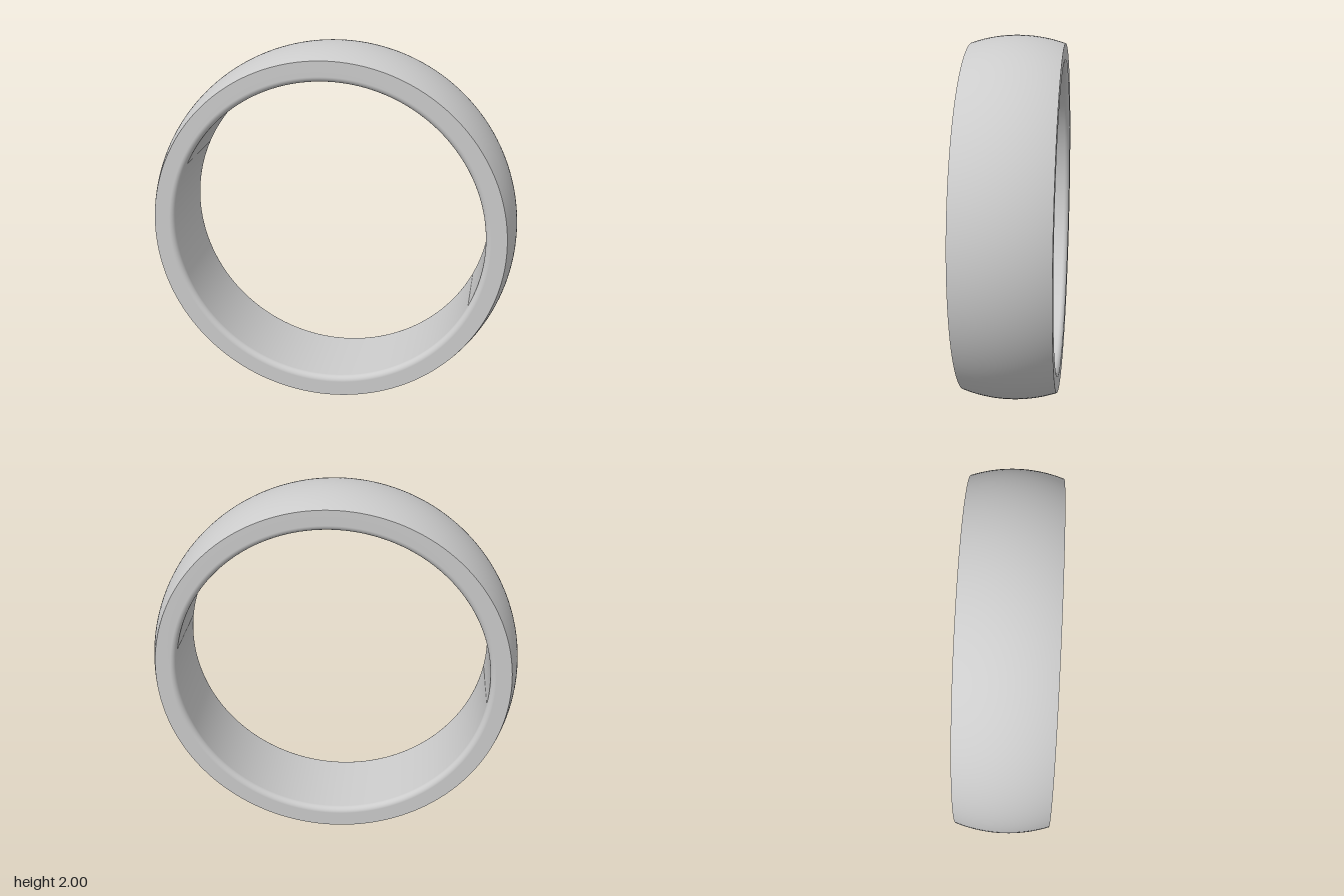
import * as THREE from 'three';

const HALF = 0.253;   // half width of the band
const EDGE = 0.957;   // outer radius at the side faces
const BORE = 0.845;   // radius of the hole
const FILLET = 0.03;  // rounding of the inner edges
const SEGMENTS = 160;

export function createModel() {
  const ring = new THREE.Group();
  ring.name = 'ring';
  const material = new THREE.MeshStandardMaterial({ color: 0xcccccc });

  function addLathe(name, points) {
    const mesh = new THREE.Mesh(new THREE.LatheGeometry(points, SEGMENTS), material);
    mesh.name = name;
    mesh.rotation.x = Math.PI / 2; // axis of the band along z
    mesh.position.y = 1;
    ring.add(mesh);
  }

  // domed outer surface: a shallow arc peaking at radius 1
  const sag = 1 - EDGE;
  const arcR = (HALF * HALF + sag * sag) / (2 * sag);
  const arcA = Math.asin(HALF / arcR);
  const dome = [];
  for (let i = 0; i <= 24; i++) {
    const a = arcA * (i / 12 - 1);
    dome.push(new THREE.Vector2(1 - arcR + arcR * Math.cos(a), arcR * Math.sin(a)));
  }
  addLathe('outerBand', dome);

  // flat side face, rounded inner edge and bore, mirrored to the other side
  const half = [new THREE.Vector2(EDGE, HALF)];
  for (let i = 0; i <= 8; i++) {
    const a = (i / 8) * Math.PI / 2;
    half.push(new THREE.Vector2(
      BORE + FILLET - FILLET * Math.sin(a),
      HALF - FILLET + FILLET * Math.cos(a)));
  }
  const mirrored = half.map((p) => new THREE.Vector2(p.x, -p.y)).reverse();
  addLathe('sidesAndBore', [...half, ...mirrored]);

  return ring;
}
